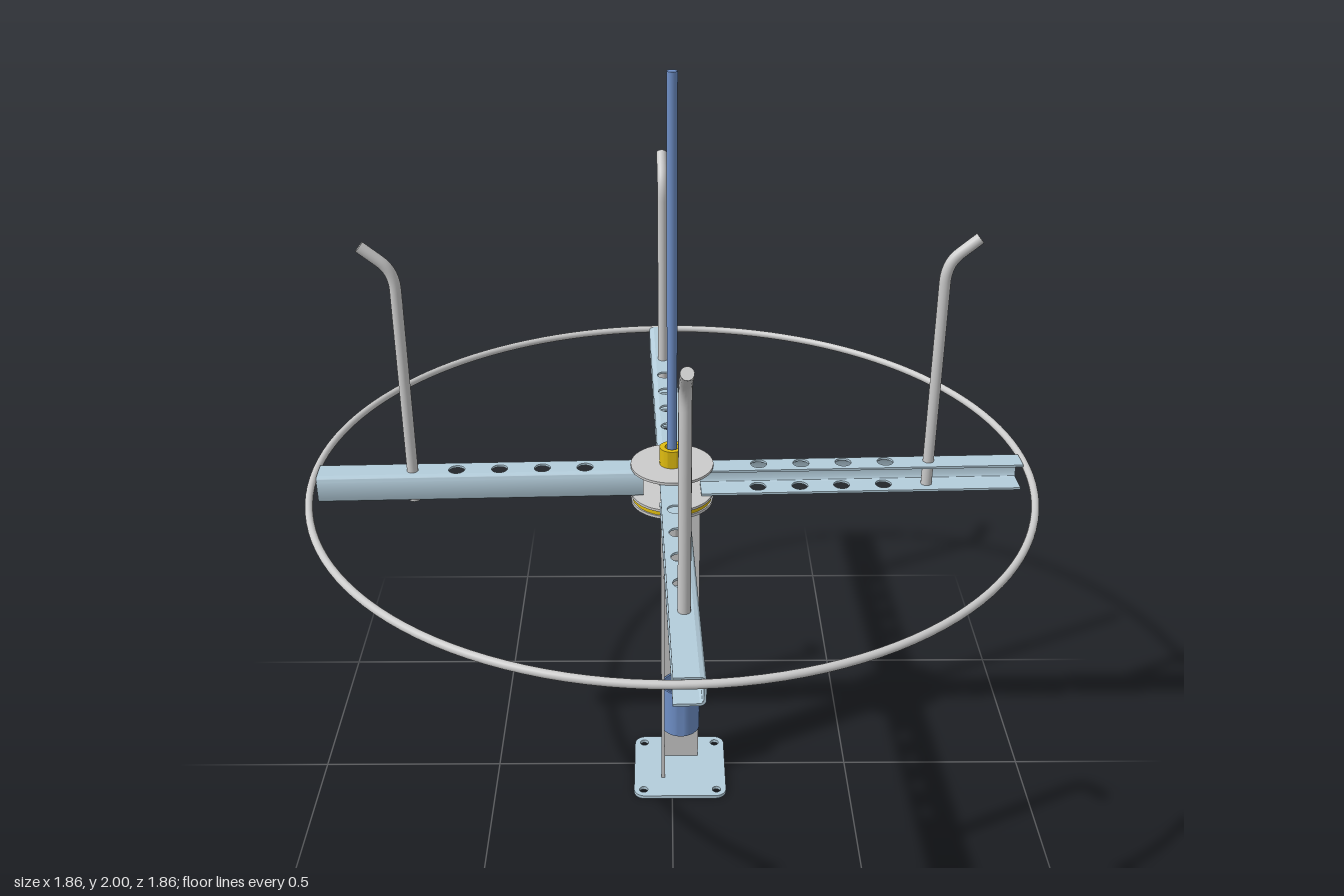
import * as THREE from 'three';
import { toCreasedNormals } from 'three/addons/utils/BufferGeometryUtils.js';

const mat = (color) => new THREE.MeshStandardMaterial({ color });
const grey = mat(0xcccccc), paleBlue = mat(0xb4cddb), blue = mat(0x6f90c8), gold = mat(0xe0bc10);

function add(parent, name, geometry, material, x = 0, y = 0, z = 0) {
  const mesh = new THREE.Mesh(geometry, material);
  mesh.name = name;
  mesh.position.set(x, y, z);
  parent.add(mesh);
  return mesh;
}

const extrude = (shape, depth) =>
  toCreasedNormals(new THREE.ExtrudeGeometry(shape, { depth, bevelEnabled: false, curveSegments: 12 }), 0.6);

function hole(shape, x, y, r) {
  const path = new THREE.Path();
  path.absarc(x, y, r, 0, Math.PI * 2, true);
  shape.holes.push(path);
}

const disc = (r, h) => new THREE.CylinderGeometry(r, r, h, 48);

// Open tube with wall thickness, standing on y = 0
function pipe(rOuter, rInner, h) {
  const pts = [[rInner, 0], [rOuter, 0], [rOuter, h], [rInner, h], [rInner, 0]];
  const lathe = new THREE.LatheGeometry(pts.map((p) => new THREE.Vector2(...p)), 40);
  return toCreasedNormals(lathe, 0.6);
}

// Square plate with rounded corners and four bolt holes
function basePlate() {
  const h = 0.13, r = 0.03, s = new THREE.Shape();
  s.absarc(h - r, h - r, r, 0, Math.PI / 2);
  s.absarc(-h + r, h - r, r, Math.PI / 2, Math.PI);
  s.absarc(-h + r, -h + r, r, Math.PI, Math.PI * 1.5);
  s.absarc(h - r, -h + r, r, Math.PI * 1.5, Math.PI * 2);
  for (const x of [-0.103, 0.103]) for (const y of [-0.103, 0.103]) hole(s, x, y, 0.012);
  return extrude(s, 0.01).rotateX(-Math.PI / 2);
}

// Angle-iron section, corner at the back left
function angleColumn() {
  const a = -0.03, b = 0.075, t = 0.009;
  const s = new THREE.Shape([[a, -a], [a, -b], [a + t, -b], [a + t, -a - t], [b, -a - t], [b, -a]]
    .map((p) => new THREE.Vector2(...p)));
  return extrude(s, 0.875).rotateX(-Math.PI / 2);
}

const ARM = { start: 0.075, end: 0.91, half: 0.035, low: 0.912, high: 0.985, wall: 0.006, bend: 0.014 };

// Web of the channel with both rounded bends, extruded along x
function channelWeb() {
  const { start, end, half, low, high, wall, bend } = ARM;
  const c = half - bend, s = new THREE.Shape();
  s.moveTo(c, low);
  s.absarc(c, low + bend, bend, -Math.PI / 2, 0);
  s.absarc(c, high - bend, bend, 0, Math.PI / 2);
  s.lineTo(c, high - wall);
  s.absarc(c, high - bend, bend - wall, Math.PI / 2, 0, true);
  s.absarc(c, low + bend, bend - wall, 0, -Math.PI / 2, true);
  s.closePath();
  return extrude(s, end - start).rotateY(Math.PI / 2).translate(start, 0, 0);
}

// Perforated flat flange
function flange() {
  const { start, end, half, bend, wall } = ARM, c = half - bend;
  const s = new THREE.Shape([[start, -half], [end, -half], [end, c], [start, c]]
    .map((p) => new THREE.Vector2(...p)));
  for (let i = 0; i < 4; i++) hole(s, 0.225 + i * 0.11, 0, 0.021);
  hole(s, 0.668, 0, 0.0145);
  return extrude(s, wall).rotateX(-Math.PI / 2);
}

// Upright rod with an outward bent tip
function hook() {
  const v = (x, y) => new THREE.Vector3(x, y, 0);
  const path = new THREE.CurvePath();
  path.add(new THREE.LineCurve3(v(0.668, 0.9), v(0.668, 1.48)));
  path.add(new THREE.QuadraticBezierCurve3(v(0.668, 1.48), v(0.668, 1.53), v(0.7, 1.555)));
  path.add(new THREE.LineCurve3(v(0.7, 1.555), v(0.745, 1.592)));
  return new THREE.TubeGeometry(path, 64, 0.0145, 16);
}

// Flat cap for a hook end
function cap(parent, x, y, dx, dy) {
  const m = add(parent, 'hookEnd', new THREE.CircleGeometry(0.0145, 16), grey, x, y, 0);
  m.quaternion.setFromUnitVectors(new THREE.Vector3(0, 0, 1), new THREE.Vector3(dx, dy, 0).normalize());
}

export function createModel() {
  const model = new THREE.Group();
  model.name = 'turntableStand';

  // Stand
  add(model, 'basePlate', basePlate(), paleBlue, 0.022, 0, 0.022);
  add(model, 'column', angleColumn(), grey, 0, 0.01, 0);
  add(model, 'holderSleeve', pipe(0.053, 0.048, 0.145), blue, 0.024, 0.16, 0.024);

  // Hub and bearing
  add(model, 'bearingTube', pipe(0.025, 0.018, 0.11), grey, 0, 0.78, 0);
  add(model, 'bearingLowerPlate', disc(0.107, 0.008), grey, 0, 0.889, 0);
  add(model, 'bearingRing', disc(0.103, 0.012), gold, 0, 0.899, 0);
  add(model, 'bearingUpperPlate', disc(0.107, 0.007), grey, 0, 0.9085, 0);
  add(model, 'hubTopPlate', disc(0.107, 0.007), grey, 0, 0.9885, 0);
  add(model, 'hubSleeve', pipe(0.032, 0.018, 0.135), gold, 0, 0.905, 0);
  add(model, 'centrePole', new THREE.CylinderGeometry(0.013, 0.013, 1.21, 24), blue, 0, 1.395, 0);

  // Four perforated channel arms, each with a hook
  const web = channelWeb(), plate = flange(), rod = hook();
  for (let i = 0; i < 4; i++) {
    const arm = new THREE.Group();
    arm.name = 'arm' + (i + 1);
    arm.rotation.y = 0.034 + i * Math.PI / 2;
    const webMesh = add(arm, 'armWeb', web, paleBlue);
    // the web sits on the side away from the opening
    webMesh.rotation.x = 0;
    add(arm, 'armTopFlange', plate, paleBlue, 0, ARM.high - ARM.wall, 0);
    add(arm, 'armBottomFlange', plate, paleBlue, 0, ARM.low, 0);
    add(arm, 'hook', rod, grey);
    cap(arm, 0.668, 0.9, 0, -1);
    cap(arm, 0.745, 1.592, 0.045, 0.037);
    model.add(arm);
  }

  // Outer hoop
  const hoop = add(model, 'outerHoop', new THREE.TorusGeometry(0.92, 0.01, 16, 128), grey, 0, 0.975, 0);
  hoop.rotation.x = Math.PI / 2;
  return model;
}
